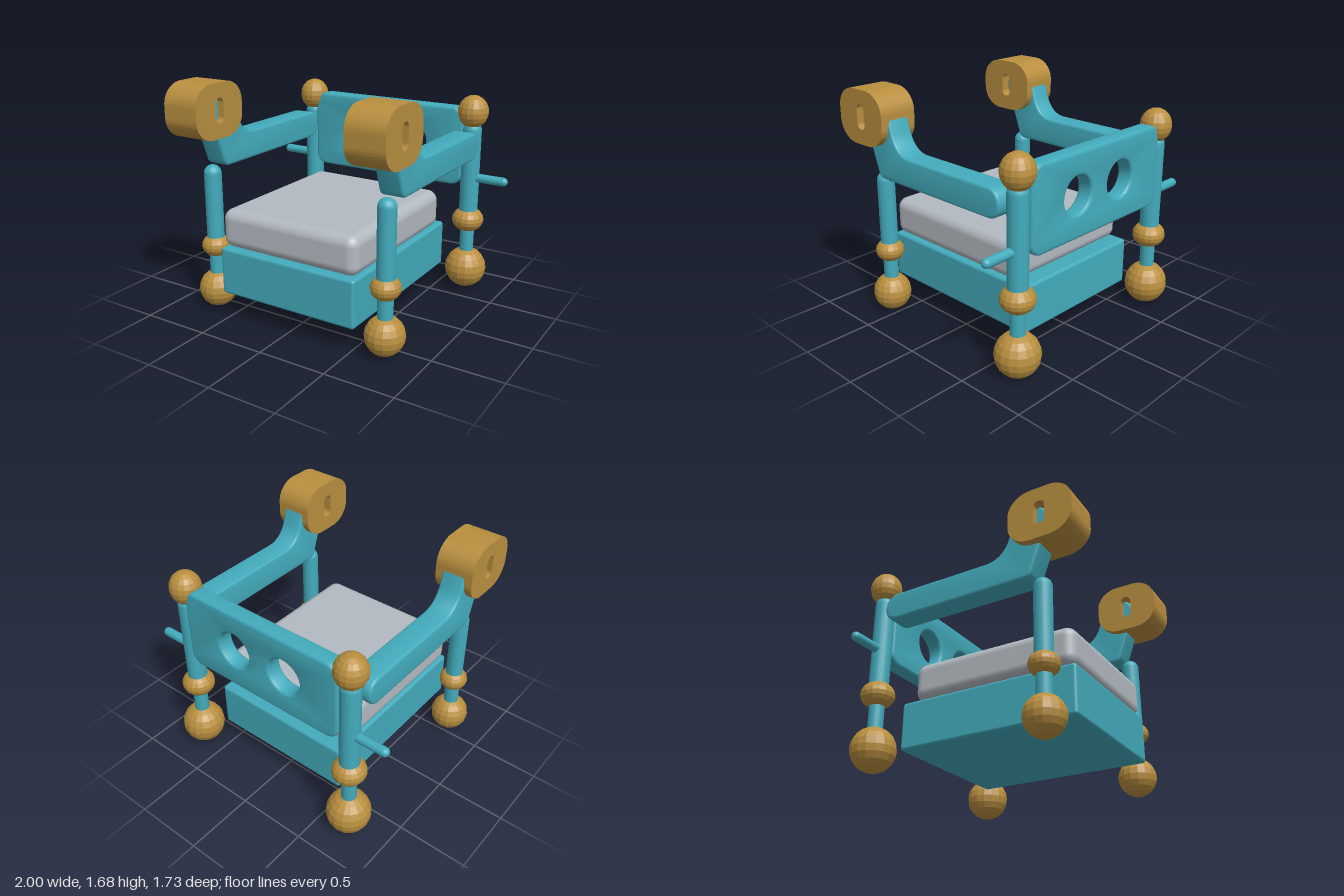
import * as THREE from 'three';
import { toCreasedNormals } from 'three/addons/utils/BufferGeometryUtils.js';
import { RoundedBoxGeometry } from 'three/addons/geometries/RoundedBoxGeometry.js';

const mat = (name, color) => {
  const m = new THREE.MeshStandardMaterial({ color });
  m.name = name;
  return m;
};

// Rounded rectangle with elliptical corners
function roundedRect(target, cx, cy, w, h, rx, ry) {
  const x0 = cx - w / 2, x1 = cx + w / 2, y0 = cy - h / 2, y1 = cy + h / 2;
  const P = Math.PI;
  target.moveTo(x0 + rx, y0);
  target.lineTo(x1 - rx, y0);
  target.absellipse(x1 - rx, y0 + ry, rx, ry, -P / 2, 0, false, 0);
  target.absellipse(x1 - rx, y1 - ry, rx, ry, 0, P / 2, false, 0);
  target.absellipse(x0 + rx, y1 - ry, rx, ry, P / 2, P, false, 0);
  target.absellipse(x0 + rx, y0 + ry, rx, ry, P, P * 1.5, false, 0);
  return target;
}

// Extrusion centred on its depth, with an optional bevel kept inside the outline
function slab(shape, depth, bevel, curveSegments) {
  const g = new THREE.ExtrudeGeometry(shape, {
    depth: depth - 2 * bevel, curveSegments,
    bevelEnabled: bevel > 0, bevelSize: bevel, bevelThickness: bevel,
    bevelOffset: -bevel, bevelSegments: 3,
  });
  return g.translate(0, 0, bevel - depth / 2);
}

// Turns an outline drawn in (z, y) so that its depth runs along x
const sideways = (g) => g.rotateY(-Math.PI / 2);

// Faceted ball, optionally squashed
function ball(r, ry) {
  const g = new THREE.SphereGeometry(r, 16, 10).scale(1, ry / r, 1).toNonIndexed();
  g.computeVertexNormals();
  return g;
}

const capsule = (r, y0, y1) =>
  new THREE.CapsuleGeometry(r, y1 - y0 - 2 * r, 6, 20).translate(0, (y0 + y1) / 2, 0);

const rod = (r, y0, y1) =>
  new THREE.CylinderGeometry(r, r, y1 - y0, 20).translate(0, (y0 + y1) / 2, 0);

export function createModel() {
  const teal = mat('teal paint', 0x43abbc);
  const gold = mat('gold wood', 0xb98f3f);
  const grey = mat('grey fabric', 0xb3bac1);
  const root = new THREE.Group();
  root.name = 'armchair';

  const add = (parent, name, geometry, material, x = 0, y = 0, z = 0) => {
    const m = new THREE.Mesh(geometry, material);
    m.name = name;
    m.position.set(x, y, z);
    parent.add(m);
    return m;
  };

  // Seat base and cushion
  add(root, 'seatBase', new RoundedBoxGeometry(1.09, 0.345, 1.335, 4, 0.022), teal, 0, 0.358, 0.052);
  add(root, 'cushion', new RoundedBoxGeometry(1.09, 0.28, 1.235, 5, 0.075), grey, 0, 0.67, 0.088);

  // Backrest with two round holes
  const back = roundedRect(new THREE.Shape(), 0, 1.117, 1.3, 0.595, 0.09, 0.09);
  for (const x of [-0.216, 0.216]) {
    const hole = new THREE.Path();
    hole.absarc(x, 1.12, 0.131, 0, Math.PI * 2, true);
    back.holes.push(hole);
  }
  add(root, 'backrest', toCreasedNormals(slab(back, 0.123, 0.022, 16), 0.7), teal, 0, 0, -0.713);

  // Armrest outline in (z, y), sweeping up into the scroll
  const arm = new THREE.Shape();
  arm.moveTo(-0.53, 1.065);
  arm.lineTo(0.49, 1.065);
  arm.quadraticCurveTo(0.53, 1.065, 0.545, 1.105);
  arm.lineTo(0.665, 1.44);
  arm.bezierCurveTo(0.69, 1.51, 0.65, 1.58, 0.58, 1.58);
  arm.lineTo(0.49, 1.58);
  arm.quadraticCurveTo(0.43, 1.58, 0.405, 1.5);
  arm.lineTo(0.375, 1.4);
  arm.bezierCurveTo(0.345, 1.31, 0.28, 1.267, 0.2, 1.267);
  arm.lineTo(-0.53, 1.267);
  arm.bezierCurveTo(-0.595, 1.267, -0.628, 1.22, -0.628, 1.166);
  arm.bezierCurveTo(-0.628, 1.112, -0.595, 1.065, -0.53, 1.065);
  const armGeo = toCreasedNormals(sideways(slab(arm, 0.172, 0.018, 8)), 0.7);

  // Armrest scroll with a slot through it
  const scroll = roundedRect(new THREE.Shape(), 0.637, 1.487, 0.467, 0.385, 0.165, 0.15);
  scroll.holes.push(roundedRect(new THREE.Path(), 0.636, 1.488, 0.08, 0.175, 0.04, 0.04));
  const scrollGeo = sideways(slab(scroll, 0.278, 0, 6));

  // Front and back leg dimensions
  const legs = [
    { name: 'frontLeg', z: 0.585, foot: 0.139, footY: 0.142, low: 0.054, ring: [0.104, 0.084], ringY: 0.477, post: [0.063, 0.42, 1.08] },
    { name: 'backLeg', z: -0.707, foot: 0.157, footY: 0.16, low: 0.053, ring: [0.12, 0.095], ringY: 0.553, post: [0.07, 0.5, 1.32] },
  ];

  for (const [side, s] of [['left', 1], ['right', -1]]) {
    const half = new THREE.Group();
    half.name = side + 'Side';
    half.position.x = 0.703 * s;
    root.add(half);

    add(half, 'armrest', armGeo, teal);
    add(half, 'armScroll', scrollGeo, gold);

    for (const l of legs) {
      const leg = new THREE.Group();
      leg.name = l.name;
      leg.position.z = l.z;
      half.add(leg);
      add(leg, 'footBall', ball(l.foot, l.foot), gold, 0, l.footY);
      add(leg, 'lowerPost', rod(l.low, l.footY, l.ringY), teal);
      add(leg, 'ringBall', ball(...l.ring), gold, 0, l.ringY);
      add(leg, 'upperPost', capsule(...l.post), teal);
    }

    // Finial and side peg on the back post
    add(half, 'finial', ball(0.114, 0.123), gold, 0, 1.387, -0.707);
    const peg = add(half, 'sidePeg', capsule(0.033, 0, 0.297), teal, 0, 0.888, -0.707);
    peg.rotation.z = -Math.PI / 2 * s;
  }
  return root;
}
